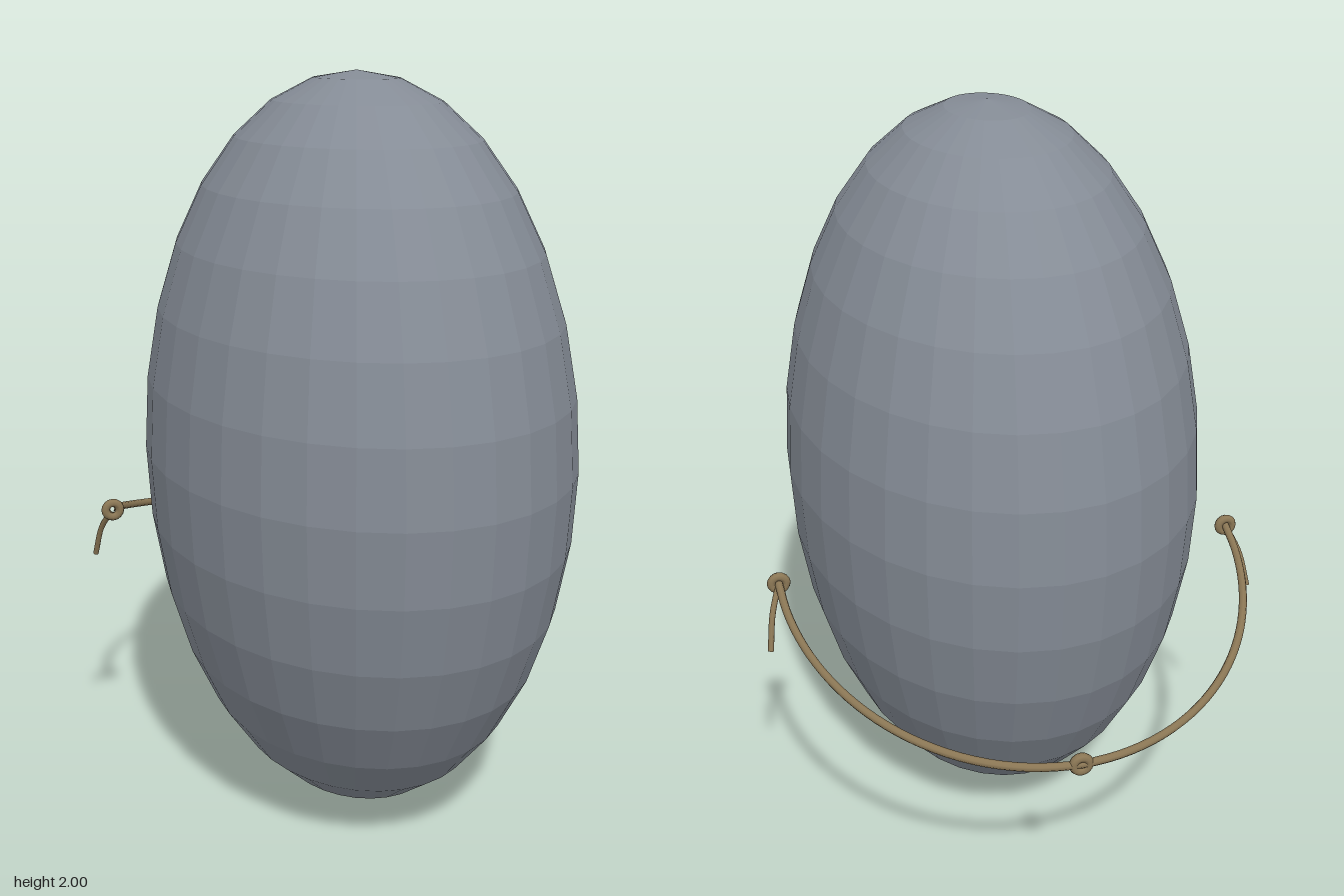
import * as THREE from 'three';

export function createModel() {
  const model = new THREE.Group();
  const stone = new THREE.MeshStandardMaterial({ color: 0x858c96, flatShading: true });
  stone.name = 'slate grey';
  const rope = new THREE.MeshStandardMaterial({ color: 0x8b7755 });
  rope.name = 'rope brown';

  const add = (name, geometry, material) => {
    const mesh = new THREE.Mesh(geometry, material);
    mesh.name = name;
    model.add(mesh);
    return mesh;
  };

  // Faceted ellipsoid body
  const body = new THREE.SphereGeometry(1, 32, 16);
  body.scale(0.565, 1, 0.762);
  body.translate(0, 1, 0.091);
  add('body', body, stone);

  // Cord: a tilted half loop hanging behind the body
  const points = [];
  for (let i = 0; i <= 24; i++) {
    const a = (i / 24) * Math.PI;
    const s = Math.sin(a);
    points.push(new THREE.Vector3(0.64 * Math.cos(a), 0.795 - 0.205 * s, -0.15 - 0.69 * s));
  }
  add('cord', new THREE.TubeGeometry(new THREE.CatmullRomCurve3(points), 64, 0.011, 8), rope);

  // Ring knots at both ends and at the middle of the cord
  const knot = new THREE.TorusGeometry(0.02, 0.012, 8, 16);
  add('middleKnot', knot, rope).position.set(0, 0.59, -0.84);

  for (const [side, x] of [['left', 1], ['right', -1]]) {
    add(side + 'Knot', knot, rope).position.set(x * 0.64, 0.795, -0.15);

    // Loose tail below each end knot
    const tail = new THREE.CatmullRomCurve3([
      new THREE.Vector3(x * 0.64, 0.795, -0.15),
      new THREE.Vector3(x * 0.667, 0.73, -0.2),
      new THREE.Vector3(x * 0.682, 0.64, -0.238),
    ]);
    add(side + 'Tail', new THREE.TubeGeometry(tail, 12, 0.008, 8), rope);
  }

  return model;
}
